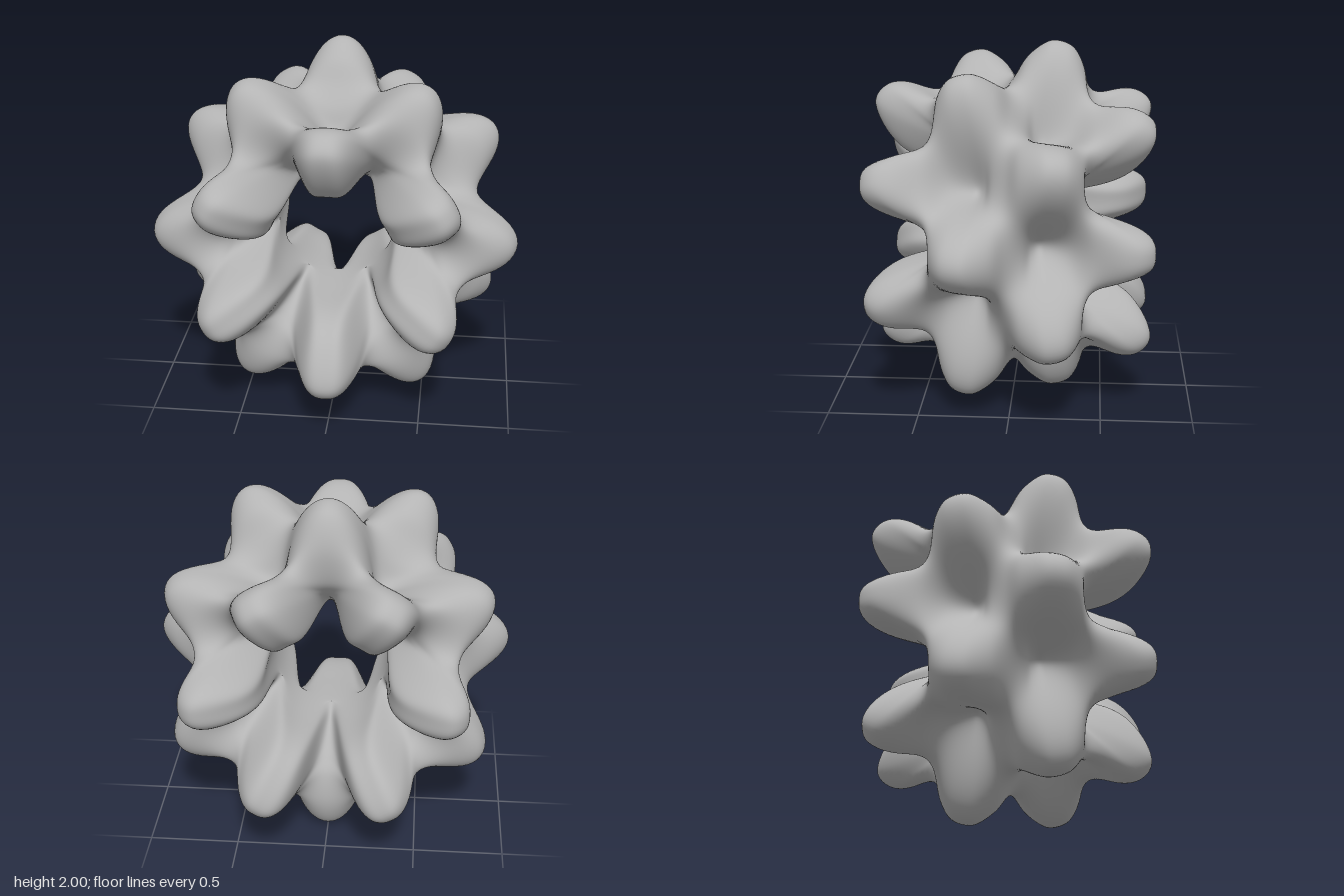
import * as THREE from 'three';

// Half sections as [r, z], from the outer waist to the hole:
// one bulges into an outer lobe, the other dips and then rises into an end fin
const LOBE = [
  [0.80, 0], [0.91, 0.07], [0.985, 0.165], [1.0, 0.235], [0.965, 0.32],
  [0.87, 0.375], [0.75, 0.395], [0.60, 0.37], [0.52, 0.31], [0.47, 0.25],
  [0.43, 0.19], [0.395, 0.13], [0.36, 0.08], [0.335, 0.03], [0.325, 0],
];
const FIN = [
  [0.80, 0], [0.69, 0.08], [0.595, 0.12], [0.55, 0.16], [0.56, 0.21],
  [0.61, 0.32], [0.70, 0.45], [0.76, 0.59], [0.75, 0.70], [0.67, 0.765],
  [0.54, 0.725], [0.41, 0.62], [0.345, 0.47], [0.33, 0.22], [0.325, 0],
];

// Closed smooth section with one half in front and the other behind
function section(front, back, count) {
  const points = [
    ...front.map(([r, z]) => new THREE.Vector3(r, 0, z)),
    ...back.slice(1, -1).reverse().map(([r, z]) => new THREE.Vector3(r, 0, -z)),
  ];
  const curve = new THREE.CatmullRomCurve3(points, true, 'catmullrom', 0.5);
  return Array.from({ length: count }, (_, j) => curve.getPoint(j / count));
}

// Sweep round the z axis, swaying six times between the two mirrored sections
function lobedRing(nu, nv) {
  const a = section(LOBE, FIN, nv), b = section(FIN, LOBE, nv);
  const pos = [], index = [], p = new THREE.Vector3();
  for (let i = 0; i < nu; i++) {
    const u = i / nu * Math.PI * 2;
    const sway = (1 - Math.cos(6 * u)) / 2;
    const i2 = (i + 1) % nu;
    for (let j = 0; j < nv; j++) {
      // Fins get broader towards the hole
      const inFront = j < nv / 2;
      const inward = 1 - Math.abs(1 - 2 * j / nv);
      const power = 1 + 0.3 * THREE.MathUtils.smoothstep(inward, 0.4, 0.55)
        + 1.1 * THREE.MathUtils.smoothstep(inward, 0.55, 0.85);
      const lobeShare = Math.pow(inFront ? 1 - sway : sway, power);
      p.lerpVectors(a[j], b[j], inFront ? 1 - lobeShare : lobeShare);
      pos.push(p.x * Math.cos(u), 1 + p.x * Math.sin(u), p.z);
      const j2 = (j + 1) % nv;
      const c0 = i * nv + j, c1 = i2 * nv + j, c2 = i2 * nv + j2, c3 = i * nv + j2;
      index.push(c0, c1, c2, c0, c2, c3);
    }
  }
  const geo = new THREE.BufferGeometry();
  geo.setAttribute('position', new THREE.Float32BufferAttribute(pos, 3));
  geo.setIndex(index);
  geo.computeVertexNormals();
  return geo;
}

export function createModel() {
  const grey = new THREE.MeshStandardMaterial({ color: 0xb4b4b4 });
  grey.name = 'grey';
  const ring = new THREE.Mesh(lobedRing(264, 168), grey);
  ring.name = 'lobedRing';
  const group = new THREE.Group();
  group.name = 'model';
  group.add(ring);
  return group;
}
